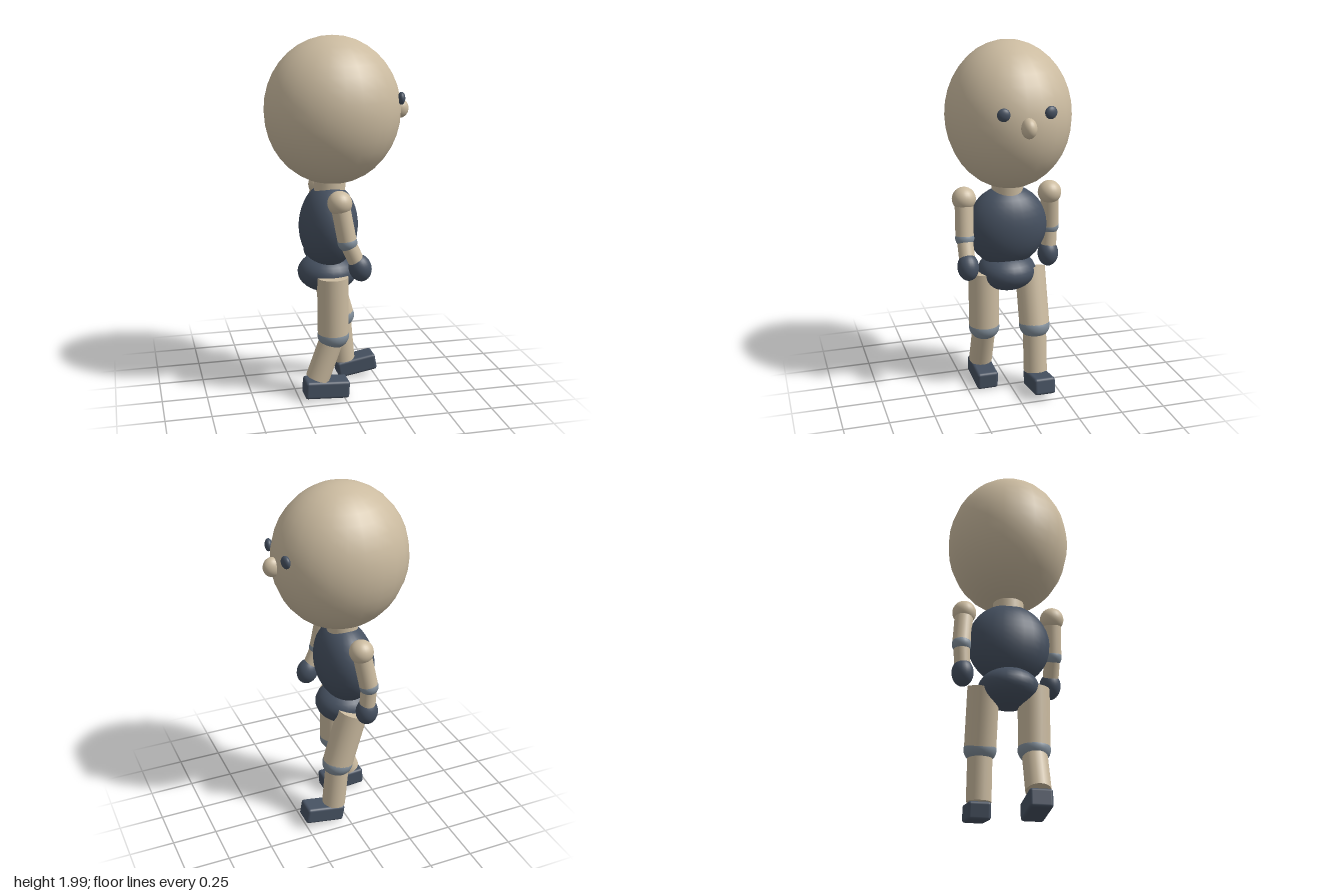
import * as THREE from 'three';
import { RoundedBoxGeometry } from 'three/addons/geometries/RoundedBoxGeometry.js';

const material = (name, color) => {
  const m = new THREE.MeshStandardMaterial({ color });
  m.name = name;
  return m;
};

export function createModel() {
  const skin = material('tan', 0xcbbba0);
  const cloth = material('dark slate', 0x465161);
  const joint = material('blue grey', 0x828f9b);
  const model = new THREE.Group();
  model.name = 'walkingFigure';

  const add = (parent, name, geometry, mat, position) => {
    const mesh = new THREE.Mesh(geometry, mat);
    mesh.name = name;
    mesh.position.set(...position);
    parent.add(mesh);
    return mesh;
  };
  const ellipsoid = (parent, name, mat, position, radii, tilt = 0) => {
    const mesh = add(parent, name, new THREE.SphereGeometry(1, 24, 18), mat, position);
    mesh.scale.set(...radii);
    mesh.rotation.z = tilt;
    return mesh;
  };
  // Straight cylinder between two points
  const limb = (parent, name, mat, from, to, radius) => {
    const a = new THREE.Vector3(...from), b = new THREE.Vector3(...to);
    const axis = b.clone().sub(a);
    const mesh = add(parent, name, new THREE.CylinderGeometry(radius, radius, axis.length(), 24), mat,
      a.clone().add(b).multiplyScalar(0.5).toArray());
    mesh.quaternion.setFromUnitVectors(new THREE.Vector3(0, 1, 0), axis.normalize().negate());
  };
  const group = (name) => {
    const g = new THREE.Group();
    g.name = name;
    model.add(g);
    return g;
  };

  // Head, facing +x
  const head = group('head');
  ellipsoid(head, 'skull', skin, [-0.028, 1.6, 0], [0.372, 0.4, 0.341]);
  ellipsoid(head, 'nose', skin, [0.35, 1.6, 0], [0.05, 0.053, 0.04]);
  for (const s of [1, -1]) {
    const eye = ellipsoid(head, 'eye', cloth, [0.322, 1.67, s * 0.125], [0.02, 0.034, 0.034]);
    eye.rotation.y = -s * 0.2;
  }

  // Body
  const body = group('body');
  limb(body, 'neck', skin, [-0.04, 1.26, 0], [-0.045, 1.14, 0], 0.086);
  ellipsoid(body, 'torso', cloth, [-0.052, 0.965, 0], [0.16, 0.236, 0.228], -0.06);
  ellipsoid(body, 'pelvis', cloth, [-0.058, 0.7, 0], [0.166, 0.11, 0.166]);

  // Arms: one swings forward, the other back
  const arms = [
    { name: 'forwardArm', s: 1, elbow: [-0.005, 0.93, 0.255], wrist: [0.055, 0.8, 0.255], hand: [0.065, 0.785, 0.255], tilt: 0.3 },
    { name: 'backwardArm', s: -1, elbow: [-0.085, 0.93, -0.263], wrist: [-0.081, 0.79, -0.256], hand: [-0.08, 0.768, -0.254], tilt: 0.03 },
  ];
  for (const { name, s, elbow, wrist, hand, tilt } of arms) {
    const arm = group(name);
    const shoulder = [-0.045, 1.143, s * 0.247];
    ellipsoid(arm, 'shoulder', skin, shoulder, [0.066, 0.066, 0.066]);
    limb(arm, 'upperArm', skin, shoulder, elbow, 0.051);
    ellipsoid(arm, 'elbow', joint, elbow, [0.053, 0.05, 0.053]);
    limb(arm, 'forearm', skin, elbow, wrist, 0.044);
    ellipsoid(arm, 'hand', cloth, hand, [0.062, 0.076, 0.059], tilt);
  }

  // Legs in mid stride
  const legs = [
    { name: 'backwardLeg', s: 1, hip: [-0.058, 0.706], knee: [-0.055, 0.368], ankle: [-0.145, 0.122],
      foot: [-0.097, 0.062], size: [0.25, 0.1], tilt: -0.06 },
    { name: 'forwardLeg', s: -1, hip: [-0.05, 0.706], knee: [0.043, 0.385], ankle: [0.068, 0.11],
      foot: [0.14, 0.074], size: [0.232, 0.096], tilt: 0.17 },
  ];
  for (const { name, s, hip, knee, ankle, foot, size, tilt } of legs) {
    const leg = group(name);
    const z = s * 0.136;
    limb(leg, 'thigh', skin, [...hip, z], [...knee, z], 0.086);
    ellipsoid(leg, 'knee', joint, [...knee, z], [0.088, 0.074, 0.088]);
    limb(leg, 'shin', skin, [...knee, z], [...ankle, z], 0.067);
    const shoe = add(leg, 'foot', new RoundedBoxGeometry(size[0], size[1], 0.122, 3, 0.016), cloth, [...foot, z]);
    shoe.rotation.z = tilt;
  }
  return model;
}
